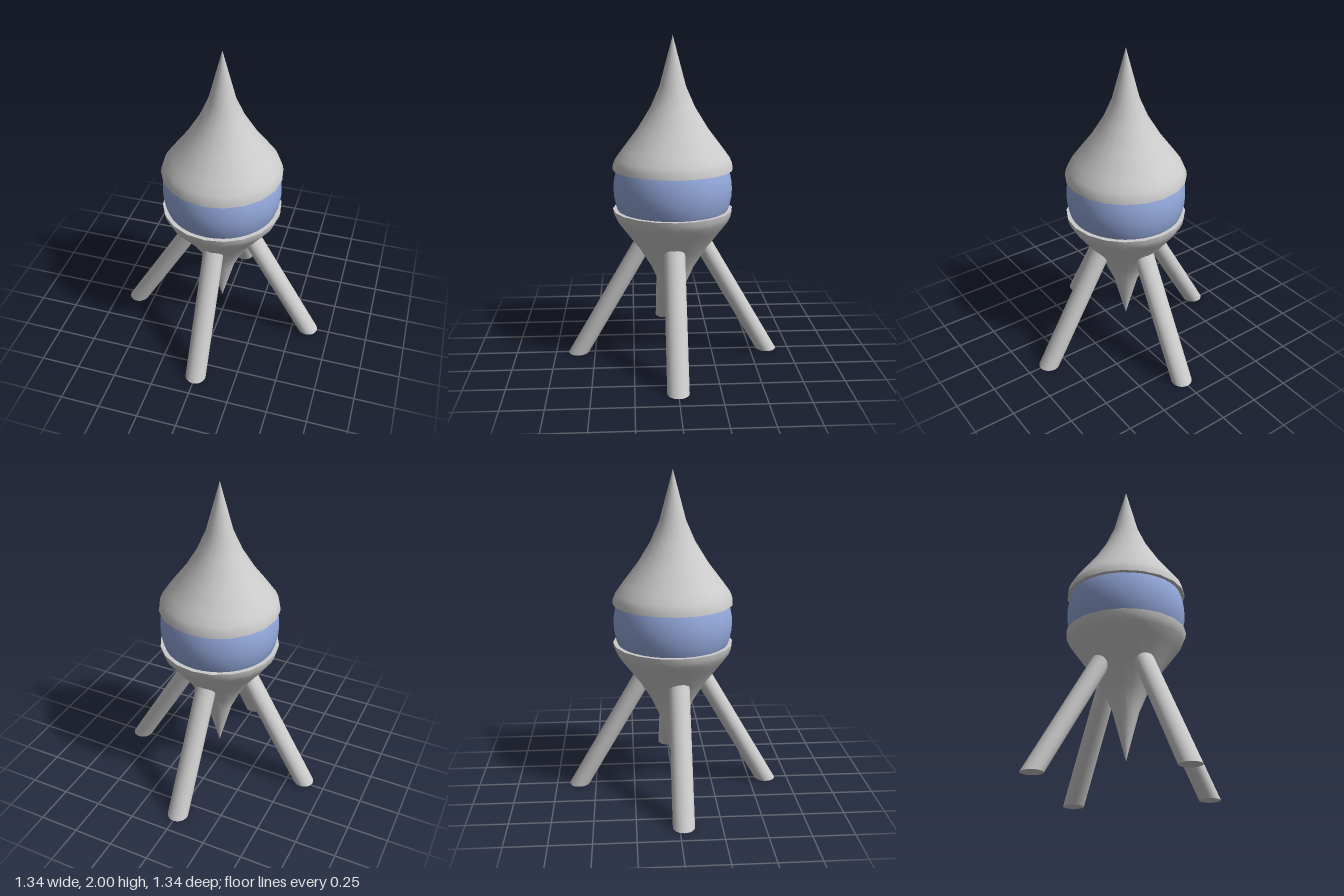
import * as THREE from 'three';

export function createModel() {
  const model = new THREE.Group();
  const shellGrey = new THREE.MeshStandardMaterial({ color: 0xcccccc });
  const glassBlue = new THREE.MeshStandardMaterial({ color: 0x93a8db });
  shellGrey.name = 'shellGrey';
  glassBlue.name = 'glassBlue';

  const add = (parent, name, geometry, material) => {
    const mesh = new THREE.Mesh(geometry, material);
    mesh.name = name;
    parent.add(mesh);
    return mesh;
  };

  // Central cabin sphere
  const midY = 1.075;
  add(model, 'cabin', new THREE.SphereGeometry(0.365, 40, 24), glassBlue).position.y = midY;

  // Pointed shell, heights measured from the cabin centre; the lower one is flipped
  const profile = [
    [0.37, 0.125], [0.365, 0.155], [0.35, 0.19], [0.31, 0.245],
    [0.215, 0.37], [0.135, 0.5], [0.08, 0.625], [0, 0.925],
  ].map(([r, y]) => new THREE.Vector2(r, y));
  const shellGeometry = new THREE.LatheGeometry(profile, 20);
  const rimGeometry = new THREE.RingGeometry(0.32, 0.37, 20);
  rimGeometry.rotateX(Math.PI / 2).translate(0, 0.125, 0);

  for (const [name, turn] of [['upperShell', 0], ['lowerShell', Math.PI]]) {
    const shell = new THREE.Group();
    shell.name = name;
    add(shell, name + 'Cone', shellGeometry, shellGrey);
    add(shell, name + 'Rim', rimGeometry, shellGrey);
    shell.position.y = midY;
    shell.rotation.x = turn;
    model.add(shell);
  }

  // Four legs: upright cylinders sheared inward, so the feet stay round and flat
  const legHeight = 0.88;
  const legGeometry = new THREE.CylinderGeometry(0.065, 0.065, legHeight, 24);
  legGeometry.translate(0, legHeight / 2, 0);
  legGeometry.applyMatrix4(new THREE.Matrix4().set(
    1, -0.577, 0, 0.605,
    0, 1, 0, 0,
    0, 0, 1, 0,
    0, 0, 0, 1,
  ));
  ['leftLeg', 'backLeg', 'rightLeg', 'frontLeg'].forEach((name, i) => {
    const leg = add(model, name, legGeometry, shellGrey);
    leg.rotation.y = i * Math.PI / 2;
    if (name === 'rightLeg') leg.position.z = 0.025; // sits slightly off the axis
  });

  return model;
}
